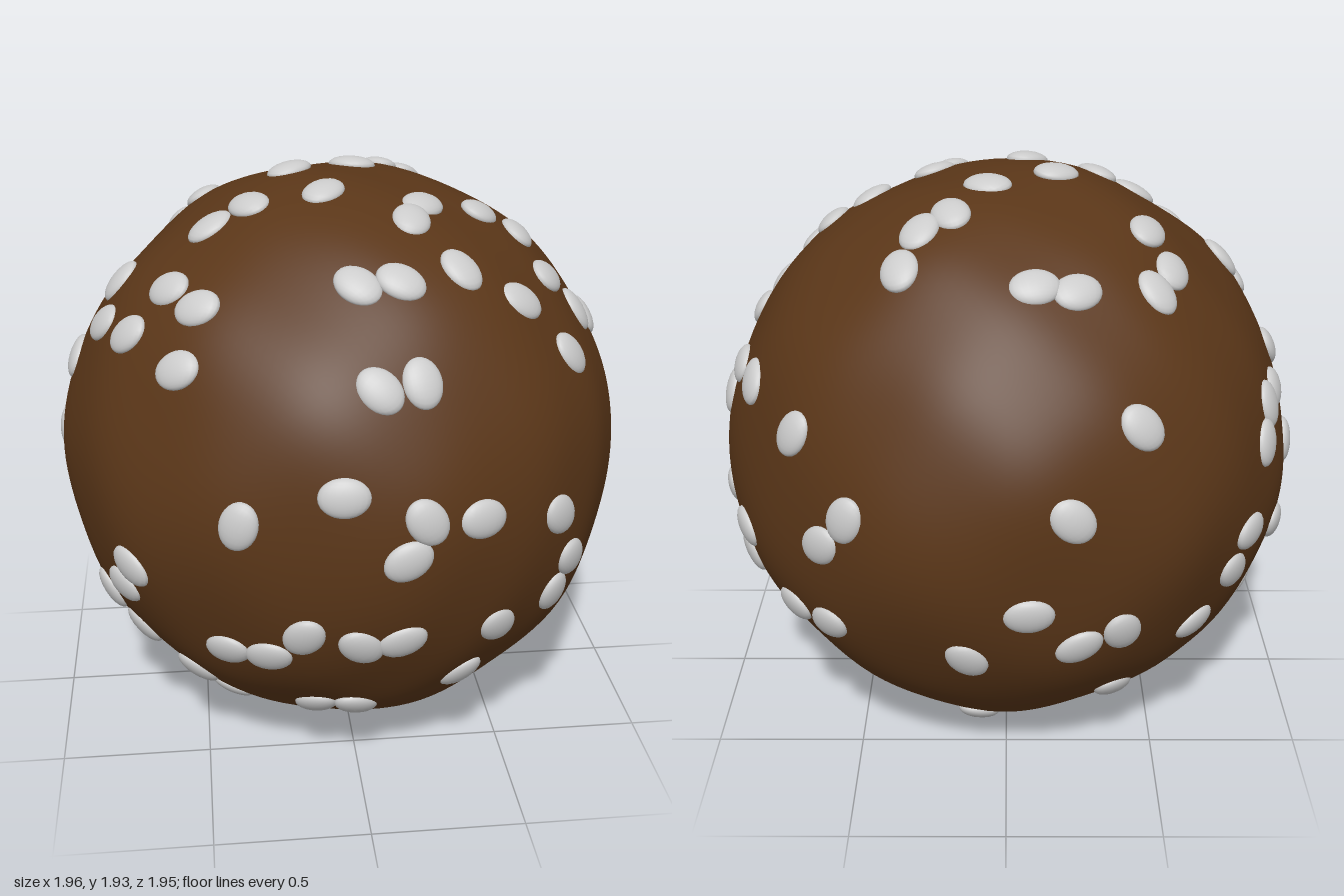
import * as THREE from 'three';
import { mergeVertices } from 'three/addons/utils/BufferGeometryUtils.js';

const RADIUS = 0.955, CENTRE = 0.985;
const rad = THREE.MathUtils.degToRad;

// gently lumpy radius in a given direction
function radiusAt(d) {
  return RADIUS
    + 0.009 * Math.sin(5 * d.x + 3 * d.y + 0.6) * Math.cos(6 * d.z - 2 * d.x)
    + 0.007 * Math.sin(8 * d.y - 4 * d.z + 1.3) * Math.cos(7 * d.x + 1)
    + 0.004 * Math.sin(12 * d.z + 5 * d.y) * Math.sin(11 * d.x - 3 * d.z);
}

// small seeded generator for the seed tilts
function makeRandom(state) {
  return () => {
    state = (state * 16807) % 2147483647;
    return state / 2147483647;
  };
}

// Seeds on each side as (across, up) from the ball's centre, facing that side.
// single: lone seeds; across and upright: middles of touching pairs.
const patches = [
  { name: 'front', azimuth: 0, elevation: 0,
    single: [-0.08, 0.21, -0.39, 0.1, 0.34, 0.1, 0.62, 0.02, 0.69, 0.46, -0.55, 0.5, -0.72, -0.15,
      -0.71, -0.5, -0.53, -0.6, -0.2, -0.28, 0.43, -0.34, 0.33, -0.56, -0.41, -0.78,
      -0.17, -0.88, 0.12, -0.88],
    across: [0.1, 0.5, -0.08, -0.67, 0.04, -0.31, -0.37, -0.39],
    upright: [0.135, 0.065, 0.66, -0.24, -0.78, -0.32] },
  { name: 'leftSide', azimuth: 90, elevation: 0,
    single: [0.36, 0.35, 0.63, 0.29, 0.09, -0.15, 0.02, -0.39, 0.12, -0.6, -0.16, -0.78, 0.28, -0.8],
    across: [0.635, -0.34],
    upright: [0.15, 0.28, 0.79, 0.03, 0.375, -0.21] },
  { name: 'top', azimuth: 0, elevation: 90,
    single: [0.32, -0.5, 0.52, -0.48, -0.48, -0.5, -0.07, -0.2, -0.16, 0.04, 0.06, 0.15,
      -0.44, 0.25, 0.17, 0.32, -0.4, 0.78, 0.66, -0.24],
    across: [0.06, -0.59, -0.63, -0.37, 0.52, -0.1, -0.37, -0.18, -0.15, 0.58],
    upright: [0.22, -0.28, 0.81, -0.13, -0.75, -0.14, -0.49, 0.41, 0.29, 0.43] },
  { name: 'backRight', azimuth: 215, elevation: 24,
    single: [-0.37, -0.22, -0.48, -0.49, -0.6, -0.6, 0.15, -0.71, 0.54, -0.68, 0.71, -0.23,
      0.73, 0.1, 0.59, -0.03, -0.05, -0.88],
    across: [-0.25, -0.63, 0.64, -0.47],
    upright: [0.31, -0.51, 0.48, -0.13] },
  { name: 'underside', azimuth: 140, elevation: -30,
    single: [0.25, -0.48, 0.16, -0.68], across: [0.46, -0.75], upright: [] },
];

// one flattened seed lying on the surface
function makeSeed(geometry, material, { right, up, out }, u, v, tilt) {
  const w = Math.sqrt(Math.max(0, RADIUS * RADIUS - u * u - v * v));
  const normal = new THREE.Vector3()
    .addScaledVector(right, u).addScaledVector(up, v).addScaledVector(out, w).normalize();
  const long = right.clone().multiplyScalar(Math.cos(tilt)).addScaledVector(up, Math.sin(tilt));
  long.addScaledVector(normal, -long.dot(normal)).normalize();
  const short = normal.clone().cross(long);
  const seed = new THREE.Mesh(geometry, material);
  seed.name = 'seed';
  seed.quaternion.setFromRotationMatrix(new THREE.Matrix4().makeBasis(long, short, normal));
  seed.position.copy(normal).multiplyScalar(radiusAt(normal) - 0.003);
  return seed;
}

// lumpy sphere with smooth normals
function makeBody() {
  let body = new THREE.IcosahedronGeometry(1, 28);
  body.deleteAttribute('uv');
  body.deleteAttribute('normal');
  body = mergeVertices(body);
  const position = body.attributes.position, d = new THREE.Vector3();
  for (let i = 0; i < position.count; i++) {
    d.fromBufferAttribute(position, i).normalize();
    d.multiplyScalar(radiusAt(d));
    position.setXYZ(i, d.x, d.y, d.z);
  }
  body.computeVertexNormals();
  const mesh = new THREE.Mesh(body, new THREE.MeshStandardMaterial({ color: 0x5a3618 }));
  mesh.name = 'body';
  return mesh;
}

export function createModel() {
  const model = new THREE.Group();
  model.name = 'seededBall';
  const ball = new THREE.Group();
  ball.name = 'ball';
  ball.position.y = CENTRE;
  ball.add(makeBody());
  model.add(ball);

  // seeds scattered over every side
  const random = makeRandom(41);
  const geometry = new THREE.SphereGeometry(1, 20, 14).scale(0.08, 0.062, 0.03);
  const material = new THREE.MeshStandardMaterial({ color: 0xcccccc });
  for (const { name, azimuth, elevation, single, across, upright } of patches) {
    const group = new THREE.Group();
    group.name = name + 'Seeds';
    const turn = new THREE.Euler(rad(-elevation), rad(azimuth), 0, 'YXZ');
    const axes = {
      right: new THREE.Vector3(1, 0, 0).applyEuler(turn),
      up: new THREE.Vector3(0, 1, 0).applyEuler(turn),
      out: new THREE.Vector3(0, 0, 1).applyEuler(turn),
    };
    const add = (u, v) => group.add(makeSeed(geometry, material, axes, u, v, random() * Math.PI));
    const addPairs = (list, lean) => {
      const du = 0.065 * Math.cos(lean), dv = 0.065 * Math.sin(lean);
      for (let i = 0; i < list.length; i += 2) {
        add(list[i] - du, list[i + 1] - dv);
        add(list[i] + du, list[i + 1] + dv);
      }
    };
    for (let i = 0; i < single.length; i += 2) add(single[i], single[i + 1]);
    addPairs(across, rad(5));
    addPairs(upright, rad(65));
    ball.add(group);
  }
  return model;
}
